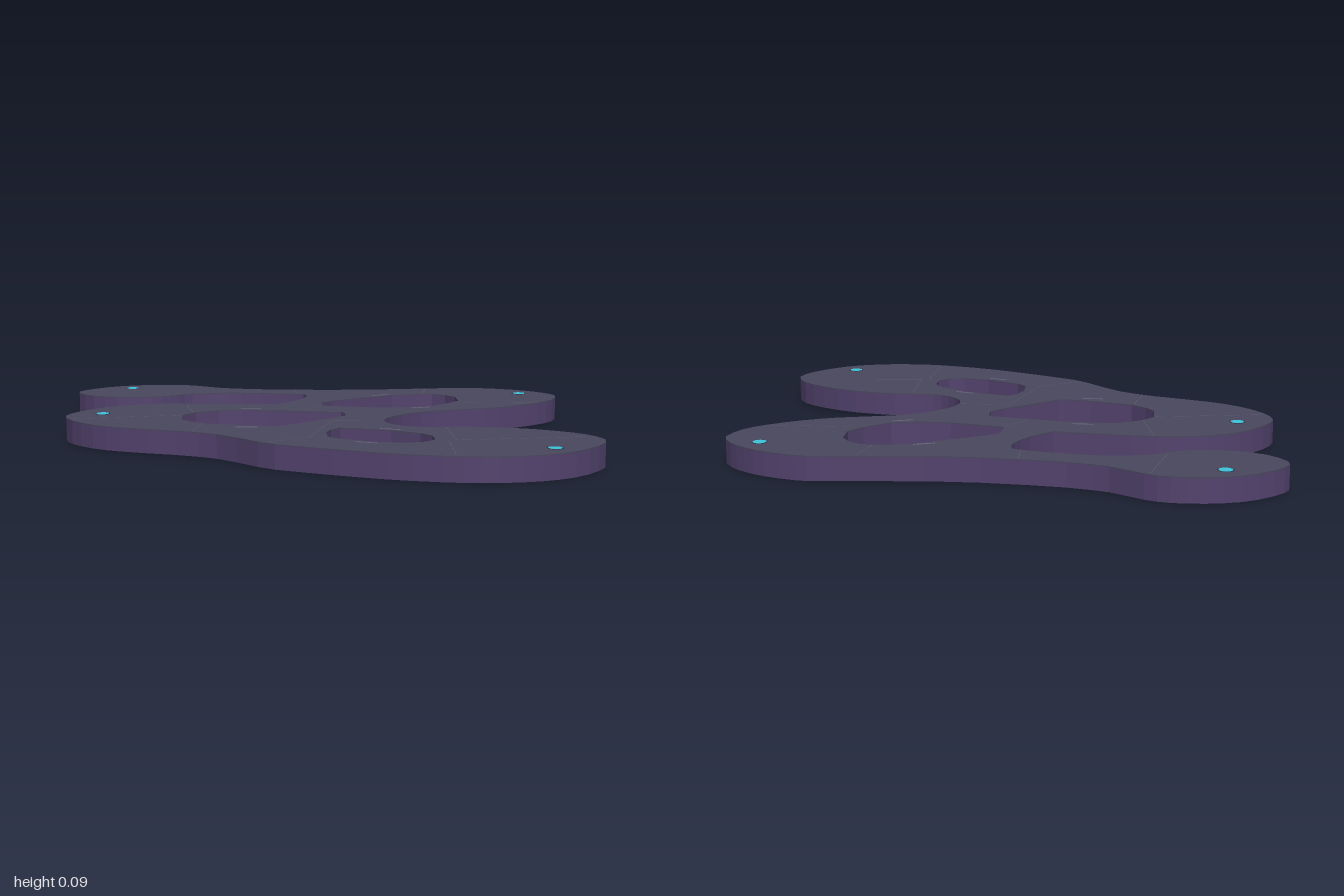
import * as THREE from 'three';

const HEIGHT = 0.09, SKIN = 0.004;

// Plan coordinates are [x, z]; shapes are drawn with y = -z and laid flat.
const toPlan = (points) => points.map(([x, z]) => new THREE.Vector2(x, -z));

// Outer edge: one smooth run that starts and ends in the sharp inner notch
const outline = [
  [-0.174, -0.307], [-0.094, -0.398], [-0.045, -0.5], [-0.045, -0.57], [-0.075, -0.592],
  [-0.174, -0.618], [-0.318, -0.644], [-0.414, -0.644], [-0.527, -0.623], [-0.58, -0.585],
  [-0.655, -0.548], [-0.74, -0.537], [-0.848, -0.548], [-0.944, -0.6], [-1, -0.69],
  [-0.965, -0.77], [-0.86, -0.86], [-0.745, -0.9], [-0.62, -0.908], [-0.53, -0.885],
  [-0.44, -0.825], [-0.36, -0.78], [-0.17, -0.735], [0.18, -0.708], [0.57, -0.74],
  [0.68, -0.74], [0.8, -0.7], [0.885, -0.65], [0.955, -0.585], [0.998, -0.495],
  [0.965, -0.38], [0.895, -0.3], [0.78, -0.217], [0.65, -0.158], [0.447, -0.104],
  [0.35, -0.05], [0.275, 0.024], [0.23, 0.1], [0.23, 0.18], [0.265, 0.238],
  [0.324, 0.28], [0.404, 0.291], [0.527, 0.291], [0.7, 0.334], [0.84, 0.41],
  [0.93, 0.495], [0.965, 0.61], [0.9, 0.735], [0.79, 0.837], [0.655, 0.89],
  [0.51, 0.903], [0.393, 0.89], [0.21, 0.837], [0.035, 0.757], [-0.126, 0.67],
  [-0.233, 0.6], [-0.38, 0.43], [-0.52, 0.34], [-0.735, 0.254], [-0.853, 0.184],
  [-0.944, 0.083], [-0.987, -0.035], [-0.95, -0.142], [-0.858, -0.254], [-0.746, -0.318],
  [-0.623, -0.345], [-0.463, -0.345], [-0.174, -0.307],
];

// Three openings between the branches
const openings = [
  [[0.013, -0.255], [0.013, -0.345], [0.06, -0.39], [0.32, -0.545], [0.43, -0.567], [0.49, -0.562],
    [0.54, -0.53], [0.575, -0.47], [0.575, -0.37], [0.53, -0.305], [0.44, -0.22], [0.34, -0.198], [0.22, -0.2]],
  [[-0.54, -0.04], [-0.49, -0.105], [-0.4, -0.153], [-0.31, -0.158], [-0.2, -0.145], [0.075, -0.085],
    [0.088, -0.065], [0.088, 0], [0.04, 0.055], [-0.16, 0.232], [-0.18, 0.24], [-0.29, 0.22],
    [-0.45, 0.165], [-0.505, 0.115], [-0.537, 0.07]],
  [[0.05, 0.286], [0.23, 0.355], [0.33, 0.425], [0.367, 0.484], [0.367, 0.56], [0.33, 0.605],
    [0.265, 0.623], [0.16, 0.6], [0.03, 0.527], [-0.008, 0.48], [-0.008, 0.39], [0.013, 0.33]],
];

// Pins at the lobe ends
const pins = [[-0.78, -0.805], [0.857, -0.562], [-0.85, -0.095], [0.755, 0.754]];

// Short marks beside the openings: x, z, turn
const marks = [[0.27, -0.54, 0.35], [0.4, -0.185, 0.35], [-0.275, -0.185, -0.05],
  [-0.295, 0.26, -0.05], [0.23, 0.333, -0.4], [0.12, 0.612, -0.4]];

// Fine joints across the branches: x1, z1, x2, z2
const joints = [[-0.53, -0.88, -0.59, -0.6], [-0.08, -0.72, -0.08, -0.6], [0.48, -0.73, 0.45, -0.57],
  [0.58, -0.305, 0.89, -0.305], [-0.54, -0.34, -0.5, -0.11], [-0.96, 0.035, -0.54, -0.04],
  [0.01, -0.25, -0.07, -0.125], [-0.46, 0.17, -0.49, 0.34], [0.03, 0.12, 0.22, 0.12],
  [0.03, 0.12, -0.07, 0.49], [-0.23, 0.59, -0.07, 0.49], [0.44, 0.3, 0.44, 0.58],
  [0.44, 0.58, 0.93, 0.53], [0.41, 0.59, 0.4, 0.88]];

function plateShape() {
  const points = toPlan(outline);
  const shape = new THREE.Shape();
  shape.moveTo(points[0].x, points[0].y);
  shape.splineThru(points.slice(1));
  // Openings run opposite to the outline so their walls face inward
  shape.holes = openings.map((o) => new THREE.Path(toPlan(o).reverse()));
  return shape;
}

export function createModel() {
  const group = new THREE.Group();
  const paint = (color) => new THREE.MeshStandardMaterial({ color });
  const add = (name, geometry, material, x = 0, y = 0, z = 0, turn = 0) => {
    const mesh = new THREE.Mesh(geometry, material);
    mesh.name = name;
    mesh.position.set(x, y, z);
    mesh.rotation.y = turn;
    group.add(mesh);
  };

  // Plate body and its thin top skin
  const shape = plateShape();
  const slab = (depth) =>
    new THREE.ExtrudeGeometry(shape, { depth, bevelEnabled: false, curveSegments: 2 }).rotateX(-Math.PI / 2);
  add('plateBody', slab(HEIGHT - SKIN), paint(0x52426d));
  add('plateTop', slab(SKIN), paint(0x49475d), 0, HEIGHT - SKIN);

  // Pins, each in a dark collar
  const pin = new THREE.CylinderGeometry(0.025, 0.025, 0.01, 20);
  const collar = new THREE.CylinderGeometry(0.029, 0.029, 0.009, 20);
  const teal = paint(0x3cc4dc), dark = paint(0x2c2838);
  for (const [x, z] of pins) {
    add('pinCollar', collar, dark, x, HEIGHT - 0.004, z);
    add('pin', pin, teal, x, HEIGHT - 0.0035, z);
  }

  // Marks
  const mark = new THREE.BoxGeometry(0.08, 0.004, 0.009);
  const lilac = paint(0x6a6482);
  for (const [x, z, turn] of marks) add('surfaceMark', mark, lilac, x, HEIGHT - 0.001, z, turn);

  // Joints
  const seam = paint(0x5a5768);
  for (const [x1, z1, x2, z2] of joints) {
    const strip = new THREE.BoxGeometry(Math.hypot(x2 - x1, z2 - z1), 0.002, 0.003);
    add('joint', strip, seam, (x1 + x2) / 2, HEIGHT - 0.0005, (z1 + z2) / 2, -Math.atan2(z2 - z1, x2 - x1));
  }
  return group;
}
